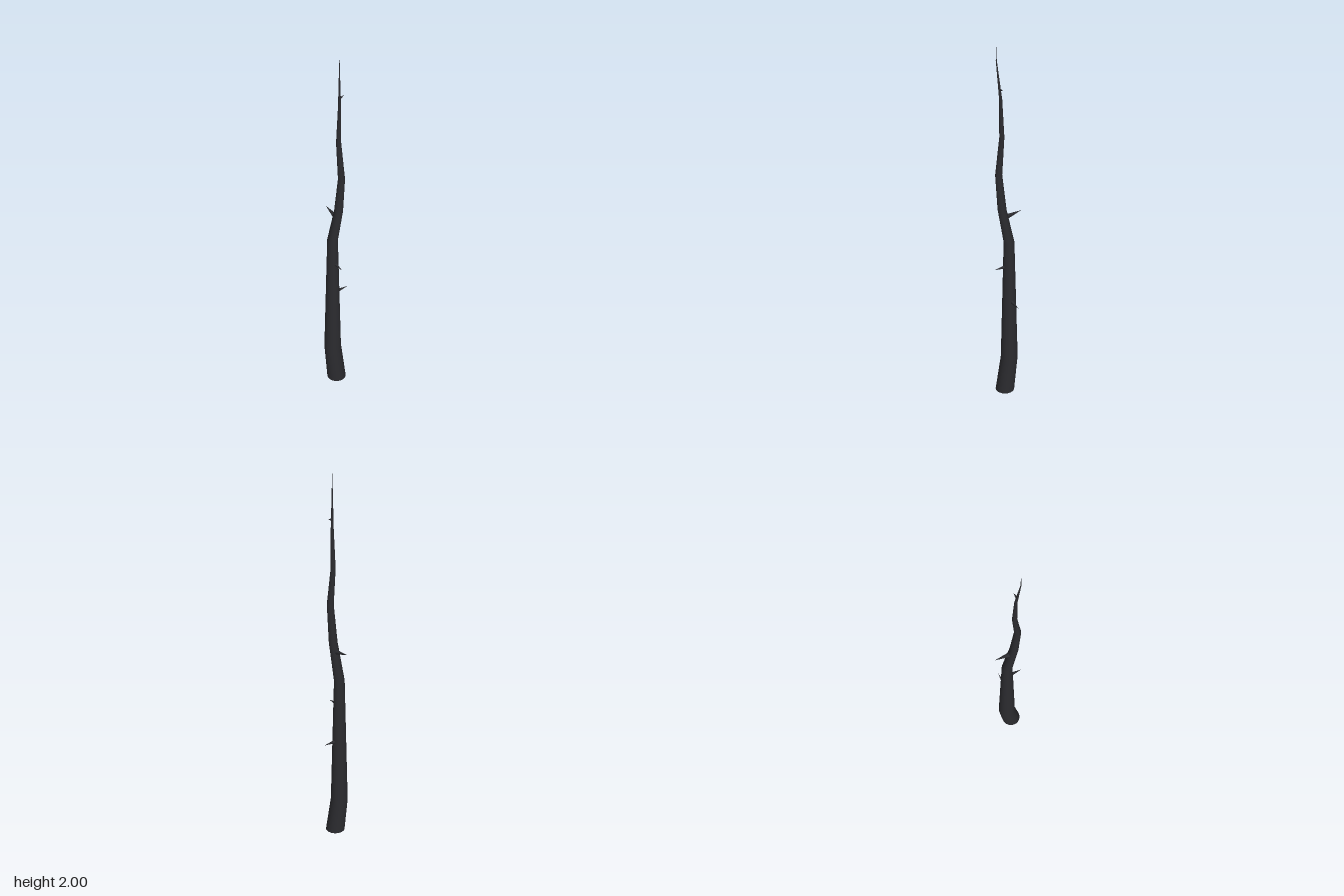
import * as THREE from 'three';

export function createModel() {
  const group = new THREE.Group();
  const bark = new THREE.MeshStandardMaterial({ color: 0x2b2b2f });

  // Centre line of the stem: height, x, z
  const spine = [
    [0, 0.018, 0.022], [0.2, -0.011, 0.022], [0.9, -0.01, 0.022], [1.1, 0.033, 0.022],
    [1.3, 0.053, 0.022], [1.5, 0.033, 0.022], [1.7, 0.039, 0.022], [1.9, 0.053, 0.037], [2, 0.054, 0.037],
  ];
  const centreAt = (y) => {
    let i = 0;
    while (i < spine.length - 2 && y > spine[i + 1][0]) i++;
    const [a, b] = [spine[i], spine[i + 1]];
    const t = (y - a[0]) / (b[0] - a[0]);
    return new THREE.Vector3(THREE.MathUtils.lerp(a[1], b[1], t), y, THREE.MathUtils.lerp(a[2], b[2], t));
  };

  // Tapered stem, each horizontal ring shifted onto the crooked centre line
  const geometry = new THREE.CylinderGeometry(0, 0.05, 2, 20, 20);
  geometry.translate(0, 1, 0);
  const pos = geometry.attributes.position;
  for (let i = 0; i < pos.count; i++) {
    const c = centreAt(pos.getY(i));
    pos.setXYZ(i, pos.getX(i) + c.x, pos.getY(i), pos.getZ(i) + c.z);
  }
  const stem = new THREE.Mesh(geometry, bark);
  stem.name = 'stem';
  group.add(stem);

  // Thorns: a slim cone from the stem's core out to a tip
  const addThorn = (baseY, tip, radius) => {
    const base = centreAt(baseY);
    const dir = new THREE.Vector3(...tip).sub(base);
    const length = dir.length();
    const cone = new THREE.ConeGeometry(radius, length, 8);
    cone.translate(0, length / 2, 0);
    const thorn = new THREE.Mesh(cone, bark);
    thorn.name = 'thorn';
    thorn.position.copy(base);
    thorn.quaternion.setFromUnitVectors(new THREE.Vector3(0, 1, 0), dir.normalize());
    group.add(thorn);
  };
  addThorn(0.555, [0.003, 0.555, -0.076], 0.013);
  addThorn(0.76, [0.072, 0.755, 0.035], 0.013);
  addThorn(1.05, [-0.075, 1.071, 0.005], 0.015);
  addThorn(1.75, [0.043, 1.758, -0.003], 0.007);

  return group;
}
